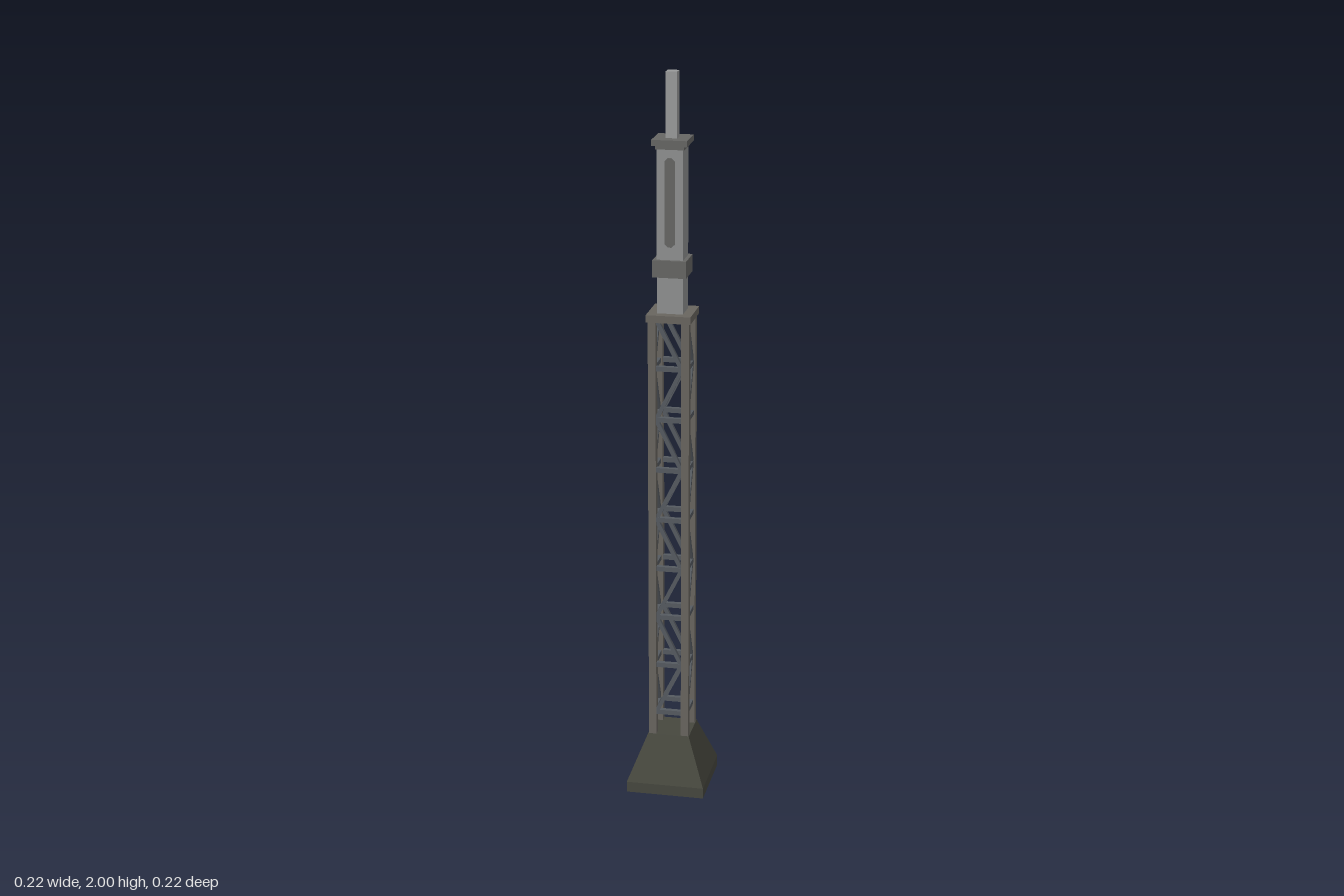
import * as THREE from 'three';

const mat = (name, color) => {
  const m = new THREE.MeshStandardMaterial({ color });
  m.name = name;
  return m;
};

export function createModel() {
  const model = new THREE.Group();
  model.name = 'latticeMast';
  const concrete = mat('darkOliveConcrete', 0x46473e);
  const frame = mat('warmGreyFrame', 0x68655f);
  const brace = mat('blueGreyBrace', 0x555a60);
  const panel = mat('lightGreyPanel', 0x8e9090);
  const trim = mat('darkGreyTrim', 0x666664);
  const rod = mat('paleGreyRod', 0x999a9a);

  const add = (parent, name, geometry, material, x = 0, y = 0, z = 0) => {
    const mesh = new THREE.Mesh(geometry, material);
    mesh.name = name;
    mesh.position.set(x, y, z);
    parent.add(mesh);
    return mesh;
  };
  // Square block between two heights
  const block = (name, width, y0, y1, material) =>
    add(model, name, new THREE.BoxGeometry(width, y1 - y0, width), material, 0, (y0 + y1) / 2, 0);

  // Footing: low slab and tapered block
  block('footingSlab', 0.216, 0, 0.03, concrete);
  const taper = new THREE.CylinderGeometry(0.115 * Math.SQRT1_2, 0.216 * Math.SQRT1_2, 0.13, 4).toNonIndexed();
  taper.rotateY(Math.PI / 4);
  taper.computeVertexNormals();
  add(model, 'footingTaper', taper, concrete, 0, 0.095, 0);

  // Four corner legs
  const legCentre = 0.045, legWidth = 0.021;
  for (const x of [-1, 1]) for (const z of [-1, 1]) {
    add(model, 'cornerLeg', new THREE.BoxGeometry(legWidth, 1.19, legWidth), frame,
      x * legCentre, 0.755, z * legCentre);
  }

  // Lattice: each side has rungs and one zigzag of diagonals
  const firstRung = 0.225, bay = 0.1417, bays = 8;
  const latticeSide = (name, angle, phase) => {
    const side = new THREE.Group();
    side.name = name;
    side.rotation.y = angle;
    for (let i = 0; i < bays; i++) {
      const y = firstRung + i * bay;
      add(side, 'rung', new THREE.BoxGeometry(0.08, 0.013, 0.013), brace, 0, y, legCentre);
      const top = Math.min(y + bay, 1.352), run = 0.07, rise = top - y;
      const diagonal = add(side, 'diagonal',
        new THREE.BoxGeometry(0.011, Math.hypot(run, rise), 0.011), brace, 0, (y + top) / 2, legCentre);
      diagonal.rotation.z = Math.atan2(run, rise) * ((i + phase) % 2 ? 1 : -1);
    }
    model.add(side);
  };
  latticeSide('frontLattice', 0, 0);
  latticeSide('backLattice', Math.PI, 1);
  latticeSide('leftLattice', Math.PI / 2, 0);
  latticeSide('rightLattice', -Math.PI / 2, 0);

  // Upper housing with platform, collar and cap
  block('platform', 0.12, 1.345, 1.365, frame);
  block('housing', 0.07, 1.365, 1.812, panel);
  block('collar', 0.09, 1.464, 1.51, trim);
  block('capNeck', 0.076, 1.802, 1.812, trim);
  block('cap', 0.094, 1.812, 1.828, trim);
  block('topRod', 0.03, 1.828, 2, rod);

  // Slot plates with clipped corners on the front and back
  const w = 0.014, h = 0.118, c = 0.009;
  const outline = new THREE.Shape([
    [-w, -h + c], [-w + c, -h], [w - c, -h], [w, -h + c],
    [w, h - c], [w - c, h], [-w + c, h], [-w, h - c],
  ].map(([x, y]) => new THREE.Vector2(x, y)));
  const slot = new THREE.ExtrudeGeometry(outline, { depth: 0.003, bevelEnabled: false });
  add(model, 'frontSlot', slot, trim, 0, 1.662, 0.034);
  add(model, 'backSlot', slot, trim, 0, 1.662, -0.034).rotation.y = Math.PI;

  return model;
}
